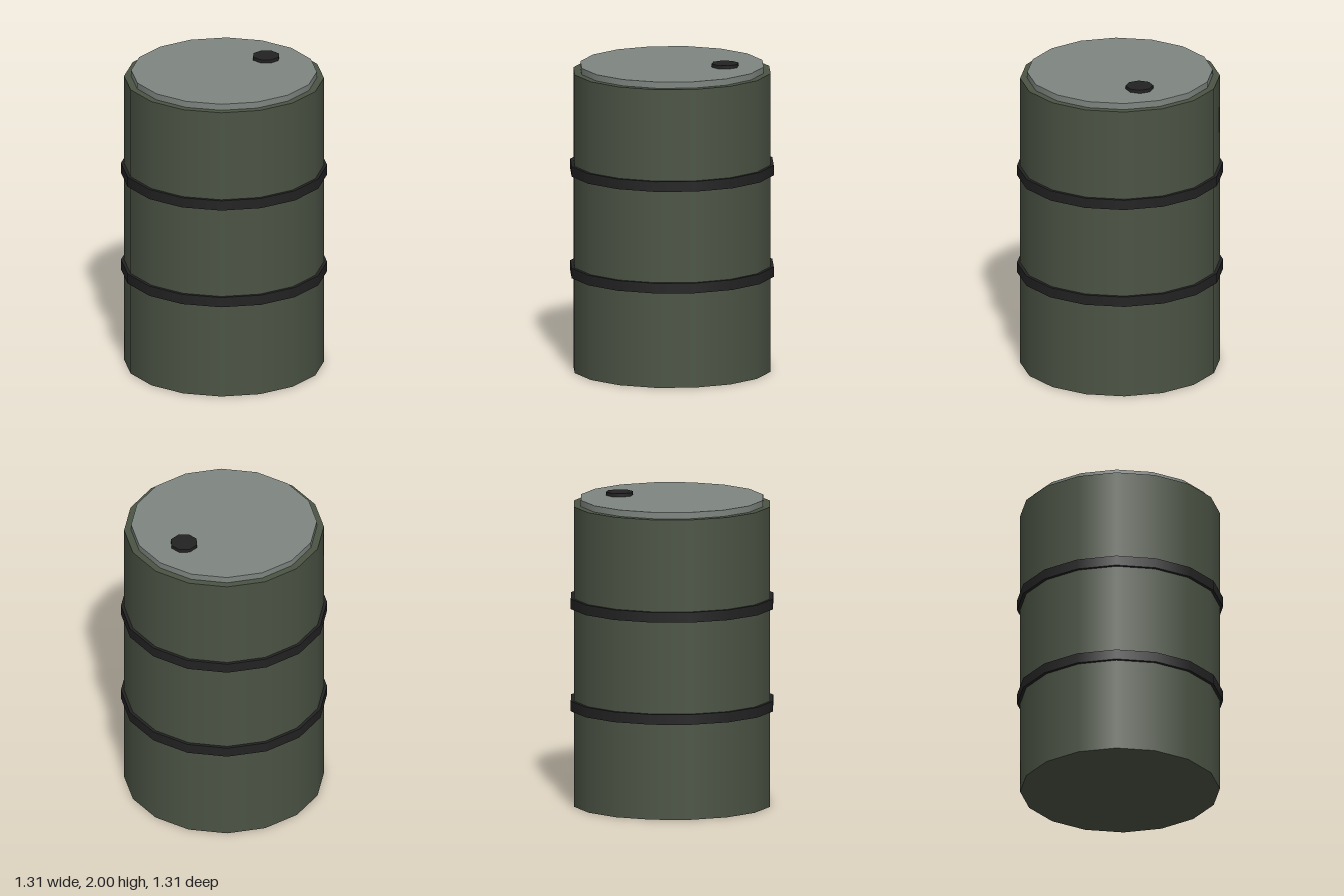
import * as THREE from 'three';

const SIDES = 16;

function material(name, color) {
  const m = new THREE.MeshStandardMaterial({ color });
  m.name = name;
  return m;
}

export function createModel() {
  const green = material('olive green', 0x4b5344);
  const grey = material('lid grey', 0x7e8580);
  const black = material('band black', 0x222222);

  const barrel = new THREE.Group();
  barrel.name = 'barrel';

  // Upright cylinder spanning the heights y0 to y1
  function drum(name, radius, y0, y1, mat, sides = SIDES, x = 0, z = 0) {
    const mesh = new THREE.Mesh(new THREE.CylinderGeometry(radius, radius, y1 - y0, sides), mat);
    mesh.name = name;
    mesh.position.set(x, (y0 + y1) / 2, z);
    barrel.add(mesh);
  }

  drum('body', 0.637, 0, 1.937, green);

  // Two reinforcing bands
  drum('lowerBand', 0.657, 0.617, 0.683, black);
  drum('upperBand', 0.657, 1.277, 1.343, black);

  // Raised lid with an off-centre filler cap
  drum('lid', 0.592, 1.9, 1.978, grey);
  drum('fillerCap', 0.088, 1.95, 2, black, 8, 0.329, -0.11);

  return barrel;
}
